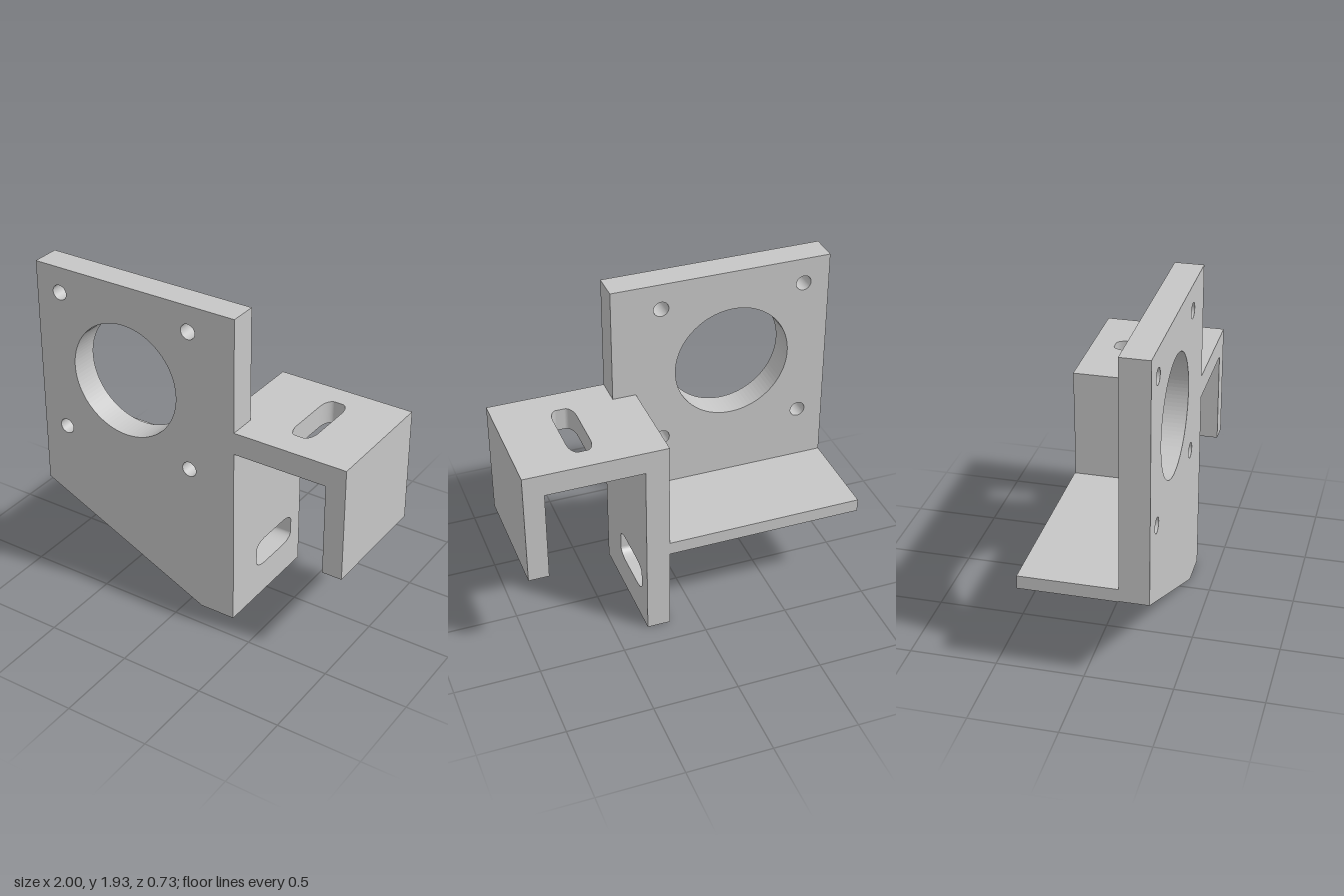
import * as THREE from 'three';

const steel = new THREE.MeshStandardMaterial({ color: 0xc6c6c6 });
steel.name = 'light grey metal';

// Closed outline from a short list of corners
function outline(points) {
  return new THREE.Shape(points.map(([x, y]) => new THREE.Vector2(x, y)));
}

// Round hole
function roundHole(x, y, r) {
  return new THREE.Path().absarc(x, y, r, 0, Math.PI * 2, true);
}

// Slot with elliptical corners of radii rx, ry
function slotHole(x0, x1, y0, y1, rx, ry) {
  const q = Math.PI / 2;
  const p = new THREE.Path();
  p.absellipse(x1 - rx, y1 - ry, rx, ry, 0, q, false);
  p.absellipse(x0 + rx, y1 - ry, rx, ry, q, 2 * q, false);
  p.absellipse(x0 + rx, y0 + ry, rx, ry, 2 * q, 3 * q, false);
  p.absellipse(x1 - rx, y0 + ry, rx, ry, 3 * q, 4 * q, false);
  p.closePath();
  return p;
}

function slab(shape, depth, curveSegments = 24) {
  return new THREE.ExtrudeGeometry(shape, { depth, bevelEnabled: false, curveSegments });
}

function box(x0, x1, y0, y1, z0, z1) {
  return new THREE.BoxGeometry(x1 - x0, y1 - y0, z1 - z0)
    .translate((x0 + x1) / 2, (y0 + y1) / 2, (z0 + z1) / 2);
}

export function createModel() {
  const group = new THREE.Group();
  group.name = 'motorBracket';
  const add = (name, geometry) => {
    const mesh = new THREE.Mesh(geometry, steel);
    mesh.name = name;
    group.add(mesh);
  };

  // Face plate with a large bore, four bolt holes and a sloped lower edge
  const plate = outline([
    [-1, 0.515], [0.09, 0], [0.308, 0], [0.308, 1.927], [-1, 1.927],
  ]);
  plate.holes.push(roundHole(-0.415, 1.343, 0.346));
  for (const x of [-0.844, 0.014])
    for (const y of [0.914, 1.772]) plate.holes.push(roundHole(x, y, 0.045));
  add('facePlate', slab(plate, 0.167, 48).translate(0, 0, 0.197));

  // Upright wall behind the plate, slotted near its foot (shape x is -z)
  const wall = outline([[-0.197, 0], [0.36, 0], [0.36, 1.112], [-0.197, 1.112]]);
  wall.holes.push(slotHole(-0.115, 0.263, 0.198, 0.373, 0.09, 0.045));
  add('uprightWall', slab(wall, 0.138).rotateY(Math.PI / 2).translate(0.17, 0, 0));

  // Slotted top arm, notched around the plate (shape y is -z)
  const arm = outline([
    [0.17, -0.197], [0.308, -0.197], [0.308, -0.364], [1, -0.364], [1, 0.364], [0.17, 0.364],
  ]);
  arm.holes.push(slotHole(0.548, 0.686, -0.2, 0.225, 0.045, 0.09));
  add('topArm', slab(arm, 0.134).rotateX(-Math.PI / 2).translate(0, 1.112, 0));

  // Hanging outer flange
  add('outerFlange', box(0.88, 1, 0.556, 1.112, -0.364, 0.364));

  // Stiffening shelf across the back
  add('rearShelf', box(-1, 0.17, 0.512, 0.59, -0.364, 0.197));

  return group;
}
